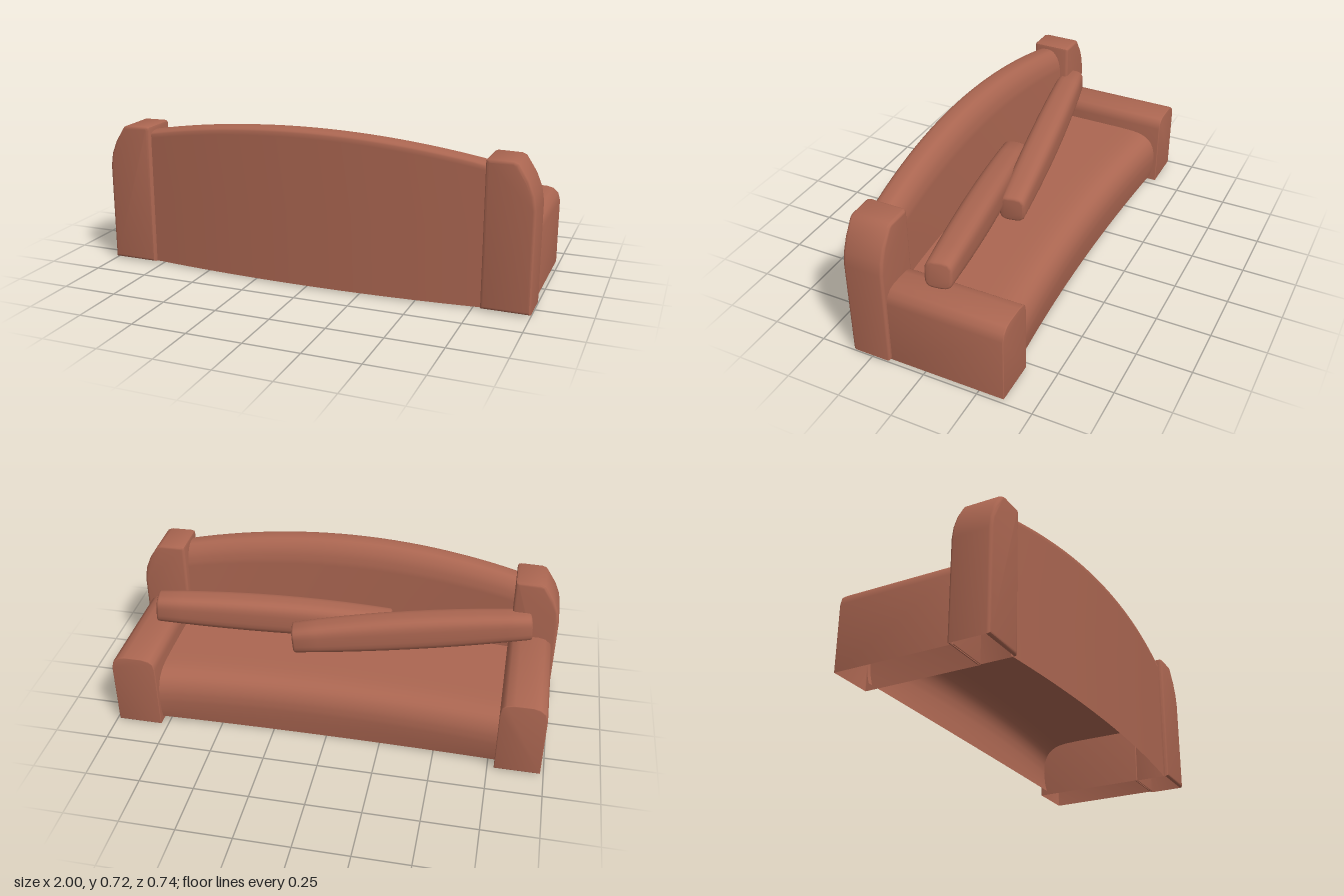
import * as THREE from 'three';
import { toCreasedNormals } from 'three/addons/utils/BufferGeometryUtils.js';

const fabric = new THREE.MeshStandardMaterial({ color: 0xab6651, side: THREE.DoubleSide });
fabric.name = 'terracotta fabric';

function addMesh(parent, geometry, name) {
  const mesh = new THREE.Mesh(geometry, fabric);
  mesh.name = name;
  parent.add(mesh);
  return mesh;
}

// Sweeps a [z, y] profile across the width, with rule(z, y, t) and t = 0 at the middle, 1 at the ends
function sweptShell(profile, halfWidth, rule) {
  const columns = 24;
  const geo = new THREE.PlaneGeometry(2 * halfWidth, 1, columns, profile.length - 1);
  const pos = geo.attributes.position;
  for (let i = 0; i < pos.count; i++) {
    const [z, y] = profile[Math.floor(i / (columns + 1))];
    const x = pos.getX(i);
    const [nz, ny] = rule(z, y, (x / halfWidth) ** 2);
    pos.setXYZ(i, x, ny, nz);
  }
  geo.computeVertexNormals();
  return geo;
}

// Smooth [z, y] profile through a few points
function smooth(points, count) {
  const curve = new THREE.CatmullRomCurve3(points.map(([z, y]) => new THREE.Vector3(z, y, 0)), false, 'centripetal');
  return curve.getPoints(count).map((p) => [p.x, p.y]);
}

// Extrudes an [x, y] outline from z0 to z1 with bevelled edges; the underside stays open
function upholsteredBlock(outline, z0, z1, bevel) {
  const shape = new THREE.Shape(outline.map(([x, y]) => new THREE.Vector2(x, y)));
  const solid = new THREE.ExtrudeGeometry(shape, {
    depth: z1 - z0 - 2 * bevel, bevelSize: bevel, bevelThickness: bevel, bevelOffset: -bevel, bevelSegments: 3,
  });
  solid.translate(0, 0, z0 + bevel);
  const p = solid.attributes.position;
  const floor = Math.min(...outline.map((o) => o[1])) + 0.001;
  const kept = [];
  for (let i = 0; i < p.count; i += 3) {
    if ([0, 1, 2].every((k) => p.getY(i + k) < floor)) continue;
    for (let k = 0; k < 3; k++) kept.push(p.getX(i + k), p.getY(i + k), p.getZ(i + k));
  }
  const geo = new THREE.BufferGeometry();
  geo.setAttribute('position', new THREE.Float32BufferAttribute(kept, 3));
  return toCreasedNormals(geo, 0.7);
}

// Long soft bolster along x, fuller in the middle and slightly bowed
function bolster(length) {
  const w = 0.06, h = 0.064, r = 0.045;
  const s = new THREE.Shape();
  s.moveTo(-w + r, -h);
  s.lineTo(w - r, -h);
  s.quadraticCurveTo(w, -h, w, -h + r);
  s.lineTo(w, h - r);
  s.quadraticCurveTo(w, h, w - r, h);
  s.lineTo(-w + r, h);
  s.quadraticCurveTo(-w, h, -w, h - r);
  s.lineTo(-w, -h + r);
  s.quadraticCurveTo(-w, -h, -w + r, -h);
  const geo = new THREE.ExtrudeGeometry(s, {
    depth: length - 0.02, steps: 10, curveSegments: 5,
    bevelSize: 0.01, bevelThickness: 0.01, bevelOffset: -0.01, bevelSegments: 2,
  });
  geo.translate(0, 0, 0.01 - length / 2);
  geo.rotateY(Math.PI / 2);
  const p = geo.attributes.position;
  for (let i = 0; i < p.count; i++) {
    const t = 1 - (2 * p.getX(i) / length) ** 2;
    p.setY(i, p.getY(i) * (1 + 0.3 * t) + 0.01 * t);
    p.setZ(i, p.getZ(i) * (1 + 0.18 * t) - 0.007 * t);
  }
  return toCreasedNormals(geo, 0.8);
}

export function createModel() {
  const sofa = new THREE.Group();
  sofa.name = 'sofa';

  // Bowed, arched backrest shell reaching down to the seat
  const backProfile = [[0.367, 0.007], [0.367, 0.35], [0.367, 0.68],
    ...smooth([[0.366, 0.699], [0.35, 0.713], [0.287, 0.714], [0.262, 0.69], [0.245, 0.655], [0.235, 0.6]], 12),
    [0.232, 0.278]];
  addMesh(sofa, sweptShell(backProfile, 0.8, (z, y, t) =>
    [z - (z > 0.3 ? 0.045 : 0.037) * t, y > 0.4 ? y * (1 - 0.115 * t) : y]), 'backrest');

  // Low seat with rounded front edge, curving inward at the middle
  const seatProfile = [[-0.292, 0], [-0.302, 0.07],
    ...smooth([[-0.307, 0.13], [-0.301, 0.19], [-0.275, 0.24], [-0.22, 0.27], [-0.1, 0.278]], 12),
    [0.232, 0.278]];
  addMesh(sofa, sweptShell(seatProfile, 0.8, (z, y, t) =>
    [z - (z > 0 ? 0.037 : 0.045) * t, y < 0.05 ? y + 0.03 * t : y]), 'seat');

  // Arms and tall rear posts
  const armOutline = [[0.78, 0.007], [0.985, 0.007], [0.985, 0.31], [0.975, 0.345], [0.95, 0.366],
    [0.92, 0.373], [0.84, 0.373], [0.805, 0.366], [0.787, 0.35], [0.78, 0.32]];
  const postOutline = [[0.785, 0.007], [1, 0.007], [1, 0.46], [0.99, 0.52], [0.965, 0.58], [0.92, 0.65],
    [0.9, 0.658], [0.8, 0.66], [0.788, 0.655], [0.785, 0.645]];
  const mirrored = (outline) => outline.map(([x, y]) => [-x, y]).reverse();
  for (const side of ['left', 'right']) {
    const flip = side === 'left' ? (o) => o : mirrored;
    addMesh(sofa, upholsteredBlock(flip(armOutline), -0.368, 0.18, 0.004), side + 'Arm');
    addMesh(sofa, upholsteredBlock(flip(postOutline), 0.16, 0.345, 0.014), side + 'RearPost');
  }

  // Two loose bolsters, each propped on an arm and sloping down to the seat
  const bolsters = [
    ['rightBolster', [-0.877, 0.438, 0.168], [0.217, 0.342, -0.018]],
    ['leftBolster', [0.872, 0.438, -0.02], [-0.222, 0.345, 0.182]],
  ];
  for (const [name, outer, inner] of bolsters) {
    const ends = [outer, inner].map((p) => new THREE.Vector3(...p)).sort((a, b) => a.x - b.x);
    const along = ends[1].clone().sub(ends[0]);
    const mesh = addMesh(sofa, bolster(along.length()), name);
    mesh.position.copy(ends[0]).addScaledVector(along, 0.5);
    mesh.quaternion.setFromUnitVectors(new THREE.Vector3(1, 0, 0), along.normalize());
  }
  return sofa;
}
